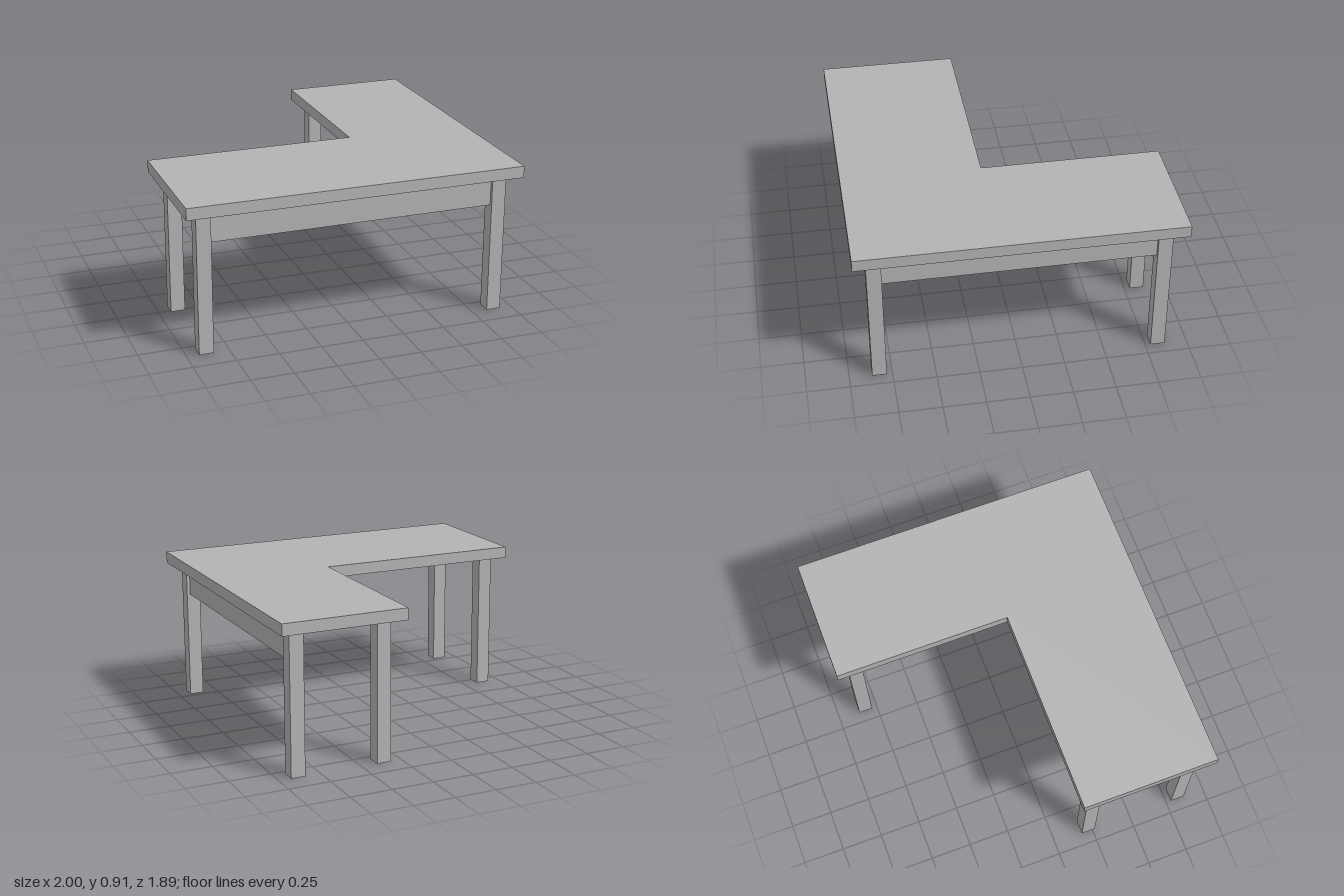
import * as THREE from 'three';

export function createModel() {
  const desk = new THREE.Group();
  desk.name = 'cornerDesk';
  const grey = new THREE.MeshStandardMaterial({ color: 0xb3b3b3 });
  grey.name = 'grey';

  const add = (name, geometry, x, y, z) => {
    const mesh = new THREE.Mesh(geometry, grey);
    mesh.name = name;
    mesh.position.set(x, y, z);
    desk.add(mesh);
  };

  // L-shaped top, drawn in (x, -z) and laid flat
  const outline = [[-1, -0.945], [1, -0.945], [1, 0.945], [0.25, 0.945], [0.25, -0.12], [-1, -0.12]];
  const shape = new THREE.Shape(outline.map(([x, y]) => new THREE.Vector2(x, y)));
  const top = new THREE.ExtrudeGeometry(shape, { depth: 0.07, bevelEnabled: false });
  top.rotateX(-Math.PI / 2);
  add('deskTop', top, 0, 0.84, 0);

  // Five square legs
  const legX = 0.885, legZ = 0.825, legSize = 0.085, legHeight = 0.84;
  const legs = {
    frontLegNegativeX: [-legX, legZ],
    frontLegPositiveX: [legX, legZ],
    backLegPositiveX: [legX, -legZ],
    backLegInner: [0.36, -legZ],
    sideLegInner: [-legX, 0.222],
  };
  for (const [name, [x, z]] of Object.entries(legs)) {
    add(name, new THREE.BoxGeometry(legSize, legHeight, legSize), x, legHeight / 2, z);
  }

  // Aprons between the outer legs, set in slightly from the leg faces
  const apronHeight = 0.167, apronY = 0.742, thickness = 0.045;
  add('frontApron', new THREE.BoxGeometry(2 * legX - legSize, apronHeight, thickness), 0, apronY, legZ);
  add('sideApron', new THREE.BoxGeometry(thickness, apronHeight, 2 * legZ - legSize), legX, apronY, 0);

  return desk;
}
